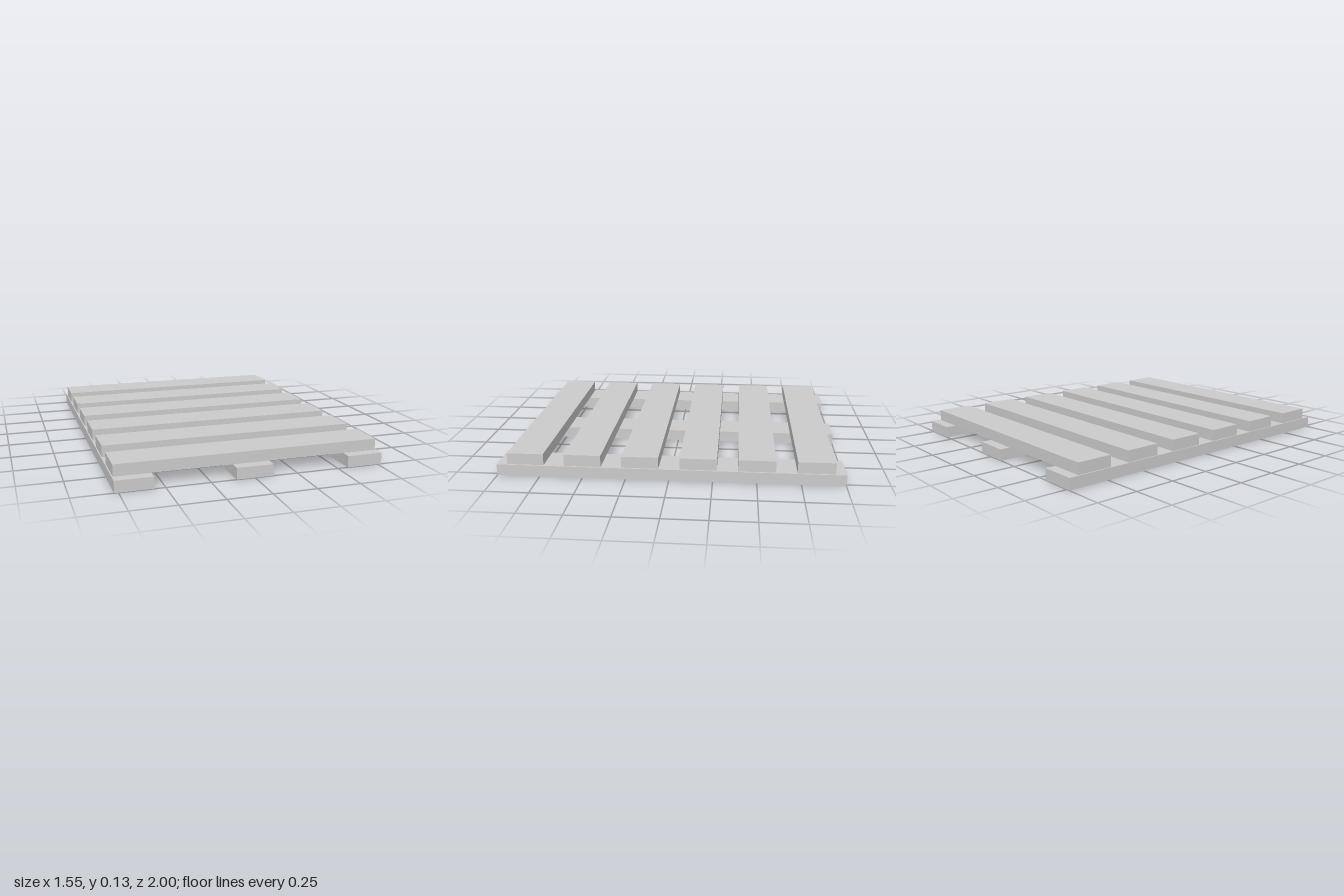
import * as THREE from 'three';

export function createModel() {
  const model = new THREE.Group();
  model.name = 'pallet';
  const wood = new THREE.MeshStandardMaterial({ color: 0xcccccc, flatShading: true });

  const plankWidth = 0.213;
  const plankHeight = 0.067;

  function addPlank(name, width, depth, x, y, z) {
    const plank = new THREE.Mesh(new THREE.BoxGeometry(width, plankHeight, depth), wood);
    plank.name = name;
    plank.position.set(x, y, z);
    model.add(plank);
  }

  // Three runners along the length, resting on the ground
  for (let i = -1; i <= 1; i++) {
    addPlank('runner', plankWidth, 2, i * 0.667, plankHeight / 2, 0);
  }

  // Six deck slats laid across the runners
  for (let i = 0; i < 6; i++) {
    addPlank('deckSlat', 1.53, plankWidth, -0.002, plankHeight * 1.5, (i - 2.5) * 0.333);
  }

  return model;
}
